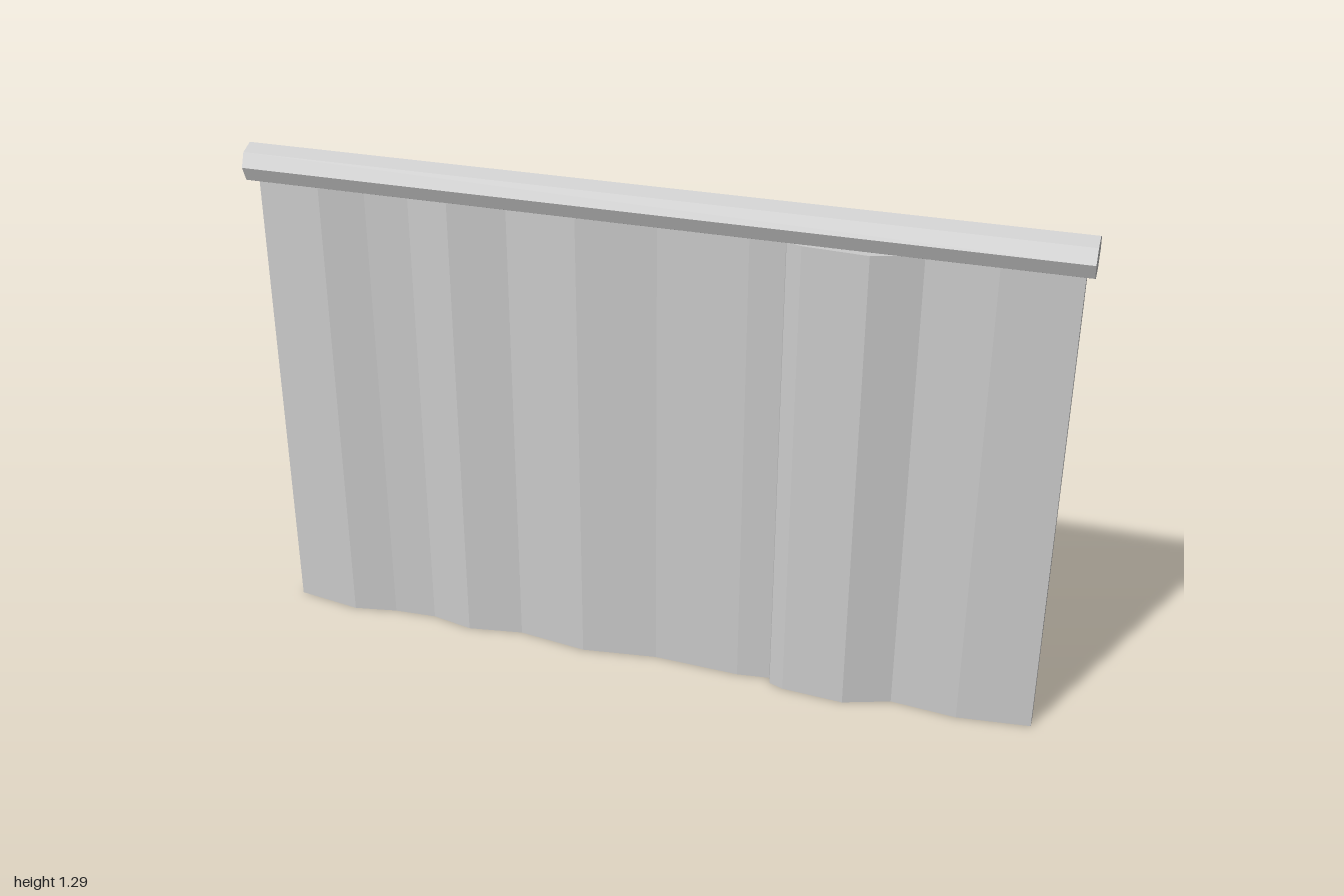
import * as THREE from 'three';

const material = new THREE.MeshStandardMaterial({ color: 0xcccccc, flatShading: true });

// Horizontal outline of the cloth as [x, z]: pleated front, nearly flat back
const frontFolds = [
  [-0.99, -0.009], [-0.82, 0.018], [-0.71, -0.003], [-0.6, -0.009], [-0.49, 0.015],
  [-0.35, -0.008], [-0.17, 0.017], [0.02, -0.009], [0.24, 0.001], [0.322, -0.009],
  [0.328, 0.012], [0.365, 0.026], [0.52, 0.037], [0.635, -0.004], [0.8, 0.012], [0.98, -0.008],
];
const backFolds = [[0.98, -0.035], [-0.49, -0.035], [-0.58, -0.053], [-0.655, -0.035], [-0.99, -0.035]];

export function createModel() {
  const group = new THREE.Group();

  // Cloth: outline extruded upward into the rod
  const outline = new THREE.Shape([...frontFolds, ...backFolds].map(([x, z]) => new THREE.Vector2(x, -z)));
  const clothGeometry = new THREE.ExtrudeGeometry(outline, { depth: 1.195, bevelEnabled: false });
  clothGeometry.rotateX(-Math.PI / 2);
  const cloth = new THREE.Mesh(clothGeometry, material);
  cloth.name = 'curtainCloth';
  group.add(cloth);

  // Rod: eight-sided bar along x
  const rodGeometry = new THREE.CylinderGeometry(0.049, 0.049, 2, 8);
  rodGeometry.rotateZ(Math.PI / 2);
  const rod = new THREE.Mesh(rodGeometry, material);
  rod.name = 'curtainRod';
  rod.position.y = 1.237;
  group.add(rod);

  return group;
}
